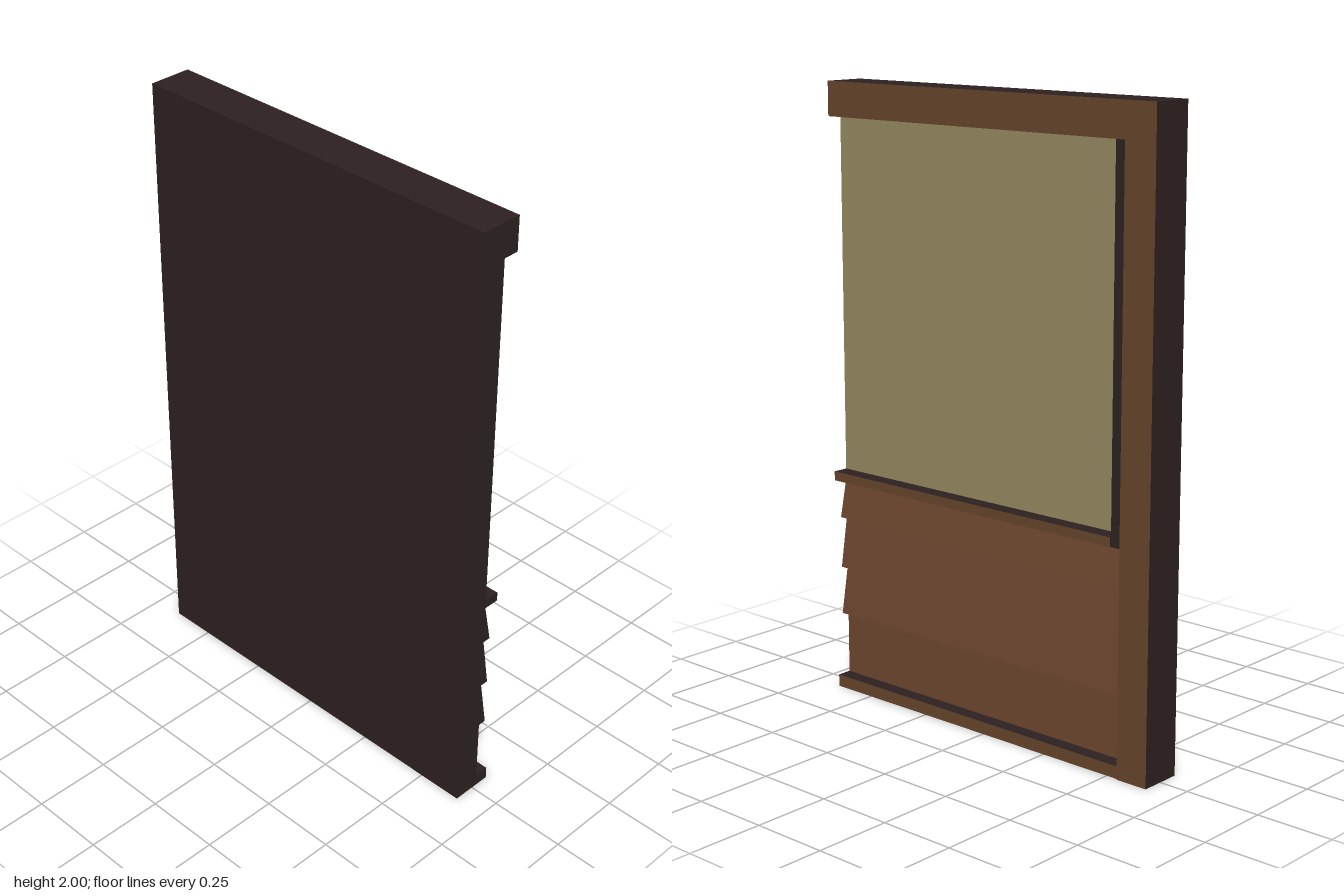
import * as THREE from 'three';

const paint = (color) => new THREE.MeshStandardMaterial({ color, flatShading: true });

export function createModel() {
  const group = new THREE.Group();
  const dark = paint(0x2c2020);
  const brown = paint(0x64432b);
  const boardBrown = paint(0x6a452d);
  const tan = paint(0x93865d);

  // Block between two limits; its +x face has its own colour and may lean back to topX
  function block(name, [x0, x1], [y0, y1], [z0, z1], face = dark, topX = x1) {
    const geo = new THREE.BoxGeometry(x1 - x0, y1 - y0, z1 - z0);
    geo.translate((x0 + x1) / 2, (y0 + y1) / 2, (z0 + z1) / 2);
    const p = geo.attributes.position;
    for (let i = 0; i < p.count; i++) {
      if (p.getX(i) > x1 - 1e-4 && p.getY(i) > y1 - 1e-4) p.setX(i, topX);
    }
    geo.computeVertexNormals();
    const mesh = new THREE.Mesh(geo, [face, dark, dark, dark, dark, dark]);
    mesh.name = name;
    group.add(mesh);
  }

  const front = 0.65, back = -0.65, post = -0.54, jamb = -0.505;
  const core = 0.014, skin = 0.018, proud = 0.07;

  // Solid wall behind everything
  block('wallCore', [-0.07, core], [0, 2], [back, front]);

  // Raised frame: head beam, rear post and base rail
  block('headBeam', [core, proud], [1.89, 2], [back, front], brown);
  block('rearPost', [core, proud], [0, 1.89], [back, post], brown);
  block('baseRail', [core, 0.066], [0, 0.04], [post, front], brown);

  // Upper plaster panel with its dark jamb and sill
  block('upperPanel', [core, skin], [0.74, 1.89], [jamb, front], tan);
  block('jamb', [core, 0.066], [0.71, 1.89], [post, jamb]);
  block('sill', [core, proud], [0.71, 0.74], [jamb, front], brown);

  // Lower cladding: a flat board and three sloping, overlapping ones
  block('flatBoard', [core, skin], [0.04, 0.25], [post, front], boardBrown);
  const rows = [0.25, 0.41, 0.58, 0.71];
  for (let i = 0; i < 3; i++) {
    block('slopingBoard' + (i + 1), [core, 0.045], [rows[i], rows[i + 1]], [post, front], boardBrown, skin);
  }
  return group;
}
